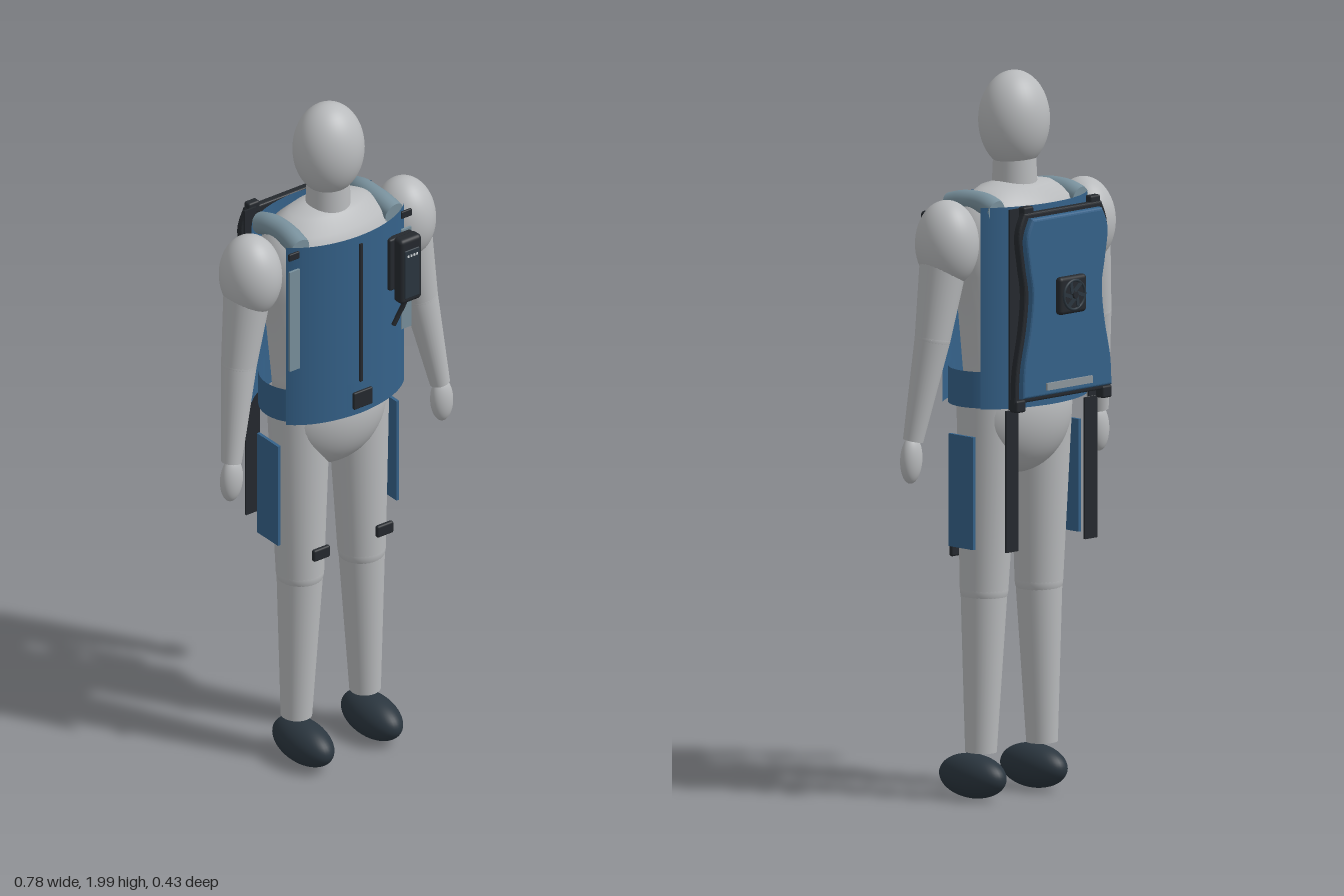
import * as THREE from 'three';
import { RoundedBoxGeometry } from 'three/addons/geometries/RoundedBoxGeometry.js';

const mat = (name, color, side = THREE.FrontSide) => {
  const m = new THREE.MeshStandardMaterial({ color, side });
  m.name = name;
  return m;
};

export function createModel() {
  const root = new THREE.Group();
  root.name = 'dressedMannequin';
  const grey = mat('mannequinGrey', 0xb9bbbd);
  const blue = mat('vestBlue', 0x35628a, THREE.DoubleSide);
  const slate = mat('paddingSlate', 0x78909c);
  const dark = mat('hardwareDark', 0x25292e);
  const boot = mat('bootDark', 0x2b363f);
  const strip = mat('reflectiveGrey', 0x8d979d);
  const light = mat('indicatorLight', 0xd5dadd);
  const V = (x, y, z) => new THREE.Vector3(x, y, z);

  const add = (name, geo, material, x = 0, y = 0, z = 0) => {
    const m = new THREE.Mesh(geo, material);
    m.name = name;
    m.position.set(x, y, z);
    root.add(m);
    return m;
  };
  const ball = (name, material, x, y, z, rx, ry, rz) =>
    add(name, new THREE.SphereGeometry(1, 40, 28).scale(rx, ry, rz), material, x, y, z);
  const box = (name, material, x, y, z, w, h, d) =>
    add(name, new THREE.BoxGeometry(w, h, d), material, x, y, z);
  const rbox = (name, material, x, y, z, w, h, d, r) =>
    add(name, new RoundedBoxGeometry(w, h, d, 3, r), material, x, y, z);
  // tapered cylinder running from a to b
  const limb = (name, material, a, b, ra, rb) => {
    const dir = b.clone().sub(a);
    const m = add(name, new THREE.CylinderGeometry(rb, ra, dir.length(), 32), material);
    m.position.copy(a).addScaledVector(dir, 0.5);
    m.quaternion.setFromUnitVectors(V(0, 1, 0), dir.normalize());
    return m;
  };
  // open elliptical shell centred on an angle (0 = front)
  const shell = (name, rx, rz, y0, y1, mid, half) =>
    add(name, new THREE.CylinderGeometry(1, 1, y1 - y0, 48, 1, true, mid - half, half * 2)
      .scale(rx, 1, rz), blue, 0, (y0 + y1) / 2, 0.021);

  // head, neck, torso and pelvis
  ball('head', grey, 0, 1.865, 0.024, 0.1, 0.135, 0.095);
  limb('neck', grey, V(0, 1.66, 0.022), V(0, 1.78, 0.022), 0.063, 0.058);
  const torsoProfile = [[0, 1.08], [0.165, 1.08], [0.175, 1.2], [0.19, 1.35], [0.215, 1.46],
    [0.225, 1.53], [0.215, 1.6], [0.18, 1.655], [0.12, 1.69], [0.06, 1.702], [0, 1.705]];
  add('torso', new THREE.LatheGeometry(torsoProfile.map(p => new THREE.Vector2(...p)), 48)
    .scale(1, 1, 0.59), grey, 0, 0, 0.018);
  ball('pelvis', grey, 0, 1.07, 0.02, 0.175, 0.175, 0.13);

  // vest panels, waist belt, zip and buckle
  shell('vestFront', 0.236, 0.146, 1.1, 1.655, 0, 1.02);
  shell('vestBack', 0.236, 0.146, 1.1, 1.655, Math.PI, 1.05);
  shell('waistBelt', 0.21, 0.147, 1.1, 1.2, 0, Math.PI);
  box('zip', dark, 0, 1.415, 0.169, 0.009, 0.43, 0.006);
  rbox('beltBuckle', dark, 0, 1.15, 0.176, 0.064, 0.052, 0.01, 0.004);

  for (const s of [-1, 1]) {
    // arms
    ball('shoulder', grey, s * 0.262, 1.555, 0.019, 0.084, 0.12, 0.09);
    limb('upperArm', grey, V(s * 0.268, 1.54, 0.019), V(s * 0.308, 1.3, 0.028), 0.068, 0.049);
    ball('elbow', grey, s * 0.308, 1.3, 0.028, 0.049, 0.049, 0.049);
    limb('forearm', grey, V(s * 0.308, 1.3, 0.028), V(s * 0.355, 1.02, 0.056), 0.049, 0.028);
    ball('hand', grey, s * 0.358, 0.968, 0.06, 0.034, 0.066, 0.026).rotation.z = s * 0.06;

    // legs and boots
    limb('thigh', grey, V(s * 0.105, 0.585, 0.034), V(s * 0.1, 1.1, 0.022), 0.066, 0.087);
    ball('knee', grey, s * 0.105, 0.585, 0.034, 0.066, 0.066, 0.066);
    limb('shin', grey, V(s * 0.117, 0.137, 0.034), V(s * 0.105, 0.585, 0.034), 0.043, 0.064);
    ball('boot', boot, s * 0.117, 0.067, 0.065, 0.06, 0.061, 0.115);

    // shoulder pads, side pads and strap clips
    const padPath = new THREE.CatmullRomCurve3([V(s * 0.16, 1.642, 0.107),
      V(s * 0.157, 1.654, 0.06), V(s * 0.155, 1.657, 0.019),
      V(s * 0.157, 1.654, -0.03), V(s * 0.16, 1.642, -0.069)]);
    add('shoulderPad', new THREE.TubeGeometry(padPath, 20, 0.031, 20), slate);
    for (const [z, ry] of [[0.107, 0], [-0.069, Math.PI]])
      add('padEnd', new THREE.CircleGeometry(0.031, 20), slate, s * 0.16, 1.642, z).rotation.y = ry;
    box('sidePad', slate, s * 0.19, 1.435, 0.12, 0.034, 0.31, 0.007);
    rbox('strapClip', dark, s * 0.191, 1.635, 0.12, 0.036, 0.022, 0.008, 0.003);

    // thigh panels, rear straps and knee clips
    box('thighPanel', blue, s * 0.202, 0.865, 0.022, 0.009, 0.31, 0.094);
    box('rearStrap', dark, s * 0.151, 0.905, -0.118, 0.047, 0.39, 0.006);
    box('rearStrapUpper', dark, s * 0.151, 1.38, -0.129, 0.04, 0.55, 0.006);
    rbox('kneeClip', dark, s * 0.108, 0.682, 0.132, 0.056, 0.036, 0.014, 0.006);

    // backpack corner blocks
    rbox('packTopCorner', dark, s * 0.128, 1.645, -0.15, 0.038, 0.035, 0.024, 0.006);
    rbox('packBottomCorner', dark, s * 0.165, 1.118, -0.155, 0.036, 0.034, 0.03, 0.006);
  }

  // backpack: dark frame with a waisted blue cover
  const packShape = inset => {
    const side = [[0.148, 1.645], [0.17, 1.585], [0.16, 1.5], [0.148, 1.42], [0.158, 1.32],
      [0.18, 1.21], [0.185, 1.125]].map(([x, y]) =>
      new THREE.Vector2(x - inset, 1.385 + (y - 1.385) * (1 - inset / 0.26)));
    const left = side.map(p => new THREE.Vector2(-p.x, p.y)).reverse();
    const shape = new THREE.Shape();
    shape.moveTo(side[0].x, side[0].y);
    shape.splineThru(side.slice(1));
    shape.lineTo(left[0].x, left[0].y);
    shape.splineThru(left.slice(1));
    shape.closePath();
    return shape;
  };
  const slab = (name, material, inset, z, depth, bevel) =>
    add(name, new THREE.ExtrudeGeometry(packShape(inset), { depth: depth - 2 * bevel,
      bevelEnabled: true, bevelThickness: bevel, bevelSize: bevel, bevelOffset: -bevel,
      bevelSegments: 3, curveSegments: 6 }), material, 0, 0, z + bevel);
  slab('packFrame', dark, 0, -0.165, 0.023, 0.006);
  slab('packCover', blue, 0.014, -0.183, 0.03, 0.008);
  box('reflectiveStrip', strip, 0, 1.165, -0.188, 0.174, 0.02, 0.006);

  // fan on the backpack
  rbox('fanPlate', dark, 0, 1.41, -0.194, 0.104, 0.104, 0.024, 0.011);
  add('fanRing', new THREE.TorusGeometry(0.04, 0.004, 8, 32), boot, 0, 1.41, -0.207);
  for (let i = 0; i < 6; i++) {
    const a = i * Math.PI / 3;
    box('fanBlade', boot, Math.cos(a) * 0.023, 1.41 + Math.sin(a) * 0.023, -0.208, 0.032, 0.01, 0.004)
      .rotation.z = a + 0.35;
  }
  limb('fanHub', dark, V(0, 1.41, -0.204), V(0, 1.41, -0.215), 0.011, 0.009);

  // chest radio with bracket, indicators and cable
  rbox('radioBracket', dark, 0.145, 1.52, 0.152, 0.084, 0.16, 0.022, 0.006);
  rbox('radioBody', dark, 0.145, 1.513, 0.187, 0.074, 0.2, 0.038, 0.012);
  rbox('radioFace', boot, 0.145, 1.505, 0.206, 0.05, 0.15, 0.006, 0.003);
  for (let i = 0; i < 4; i++)
    box('indicator', light, 0.13 + i * 0.01, 1.562, 0.21, 0.005, 0.006, 0.003);
  add('radioCable', new THREE.TubeGeometry(new THREE.CatmullRomCurve3([V(0.148, 1.43, 0.18),
    V(0.145, 1.395, 0.172), V(0.132, 1.36, 0.164), V(0.118, 1.33, 0.16)]), 16, 0.007, 10), dark);
  return root;
}
